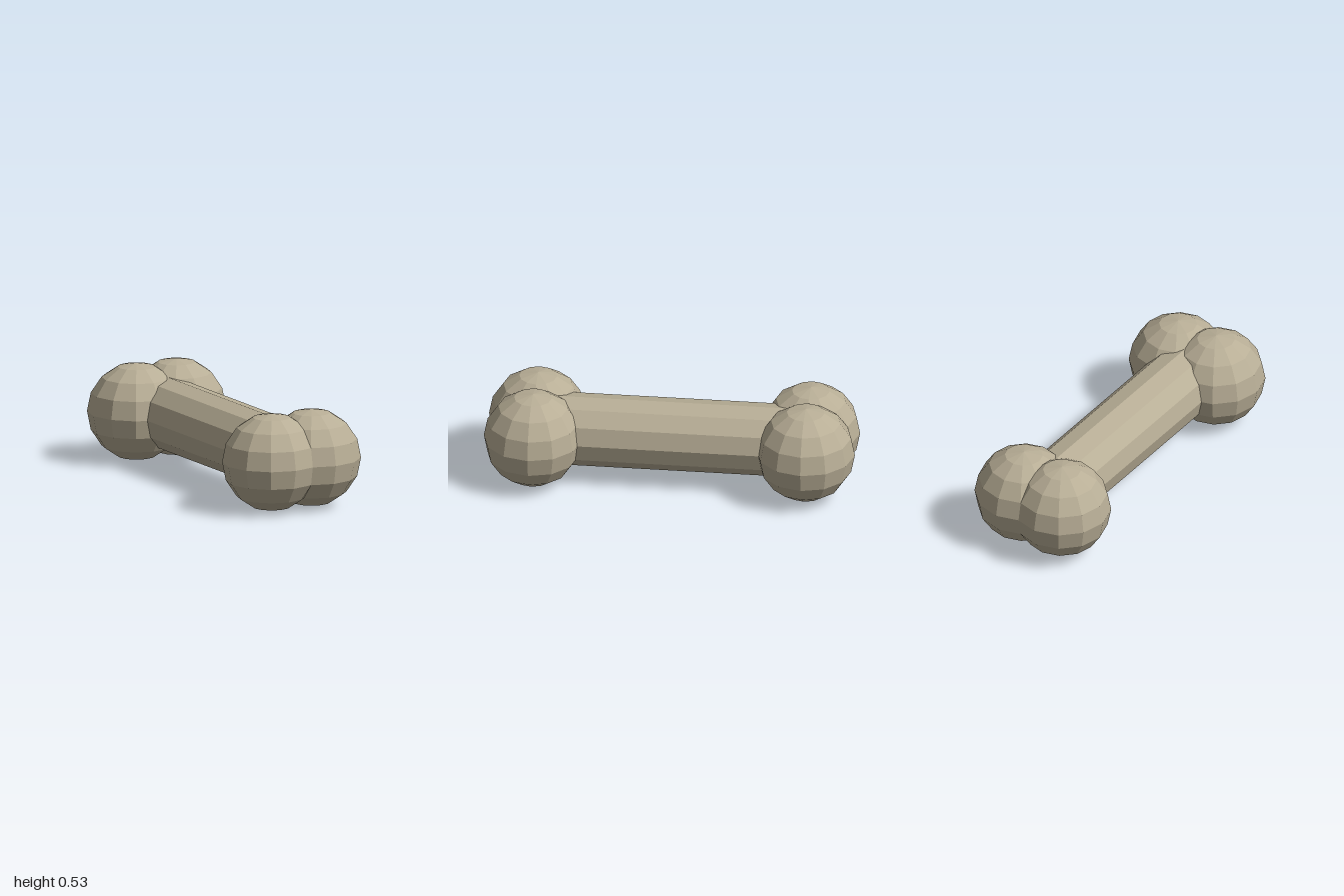
import * as THREE from 'three';

export function createModel() {
  const group = new THREE.Group();
  const material = new THREE.MeshStandardMaterial({ color: 0xb8ae96, flatShading: true });
  const R = 0.265; // knob radius, also the height of the bone's axis

  // Twelve-sided shaft running front to back
  const shaft = new THREE.Mesh(new THREE.CylinderGeometry(0.195, 0.195, 1.47, 12), material);
  shaft.name = 'shaft';
  shaft.rotation.x = Math.PI / 2;
  shaft.position.y = R;
  group.add(shaft);

  // Pair of overlapping knobs at each end
  const knobGeometry = new THREE.SphereGeometry(R, 12, 8);
  for (const [end, z] of [['front', 0.735], ['back', -0.735]]) {
    for (const [side, x] of [['Left', 0.123], ['Right', -0.123]]) {
      const knob = new THREE.Mesh(knobGeometry, material);
      knob.name = `${end}${side}Knob`;
      knob.position.set(x, R, z);
      group.add(knob);
    }
  }
  return group;
}
